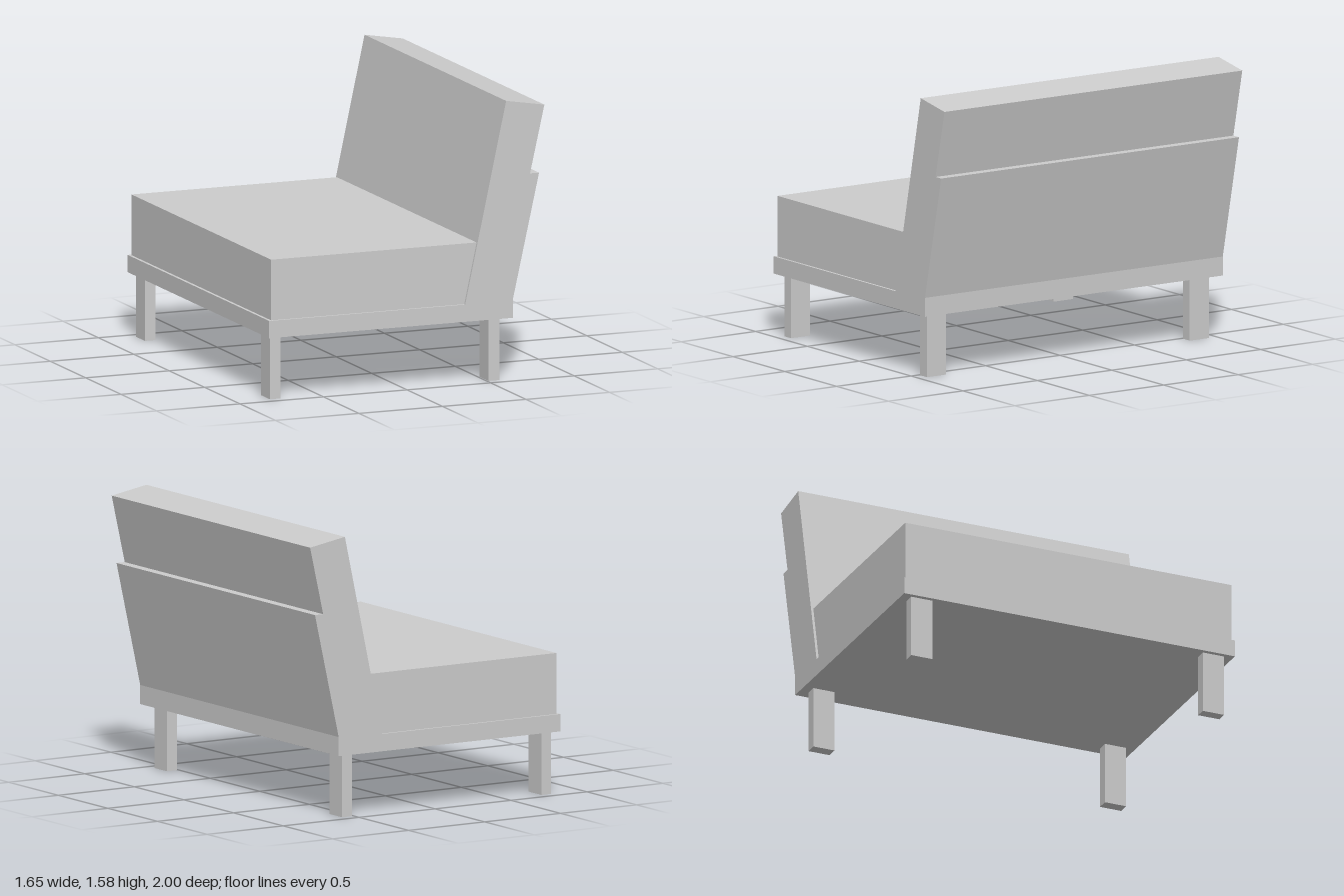
import * as THREE from 'three';

const material = new THREE.MeshStandardMaterial({ color: 0xcccccc, flatShading: true });

// Extrudes an x-y outline across z, centred on z = 0
function slab(name, points, width) {
  const shape = new THREE.Shape(points.map(([x, y]) => new THREE.Vector2(x, y)));
  const geometry = new THREE.ExtrudeGeometry(shape, { depth: width, bevelEnabled: false });
  geometry.translate(0, 0, -width / 2);
  const mesh = new THREE.Mesh(geometry, material);
  mesh.name = name;
  return mesh;
}

export function createModel() {
  const model = new THREE.Group();
  model.name = 'armlessSofa';

  // Base plate and reclined backrest, with a ledge across the rear
  model.add(slab('frameAndBackrest', [
    [-0.825, 0.355], [0.634, 0.355], [0.634, 0.462], [0.79, 1.159], [0.736, 1.159],
    [0.822, 1.539], [0.593, 1.578], [0.348, 0.452], [-0.825, 0.452],
  ], 2));

  // Seat cushion, slightly inset, its rear face following the backrest
  model.add(slab('seatCushion', [
    [-0.808, 0.452], [0.348, 0.452], [0.422, 0.793], [-0.808, 0.793],
  ], 1.972));

  // Four legs
  const legHeight = 0.355;
  for (const [x, thickness, end] of [[-0.767, 0.063, 'Front'], [0.543, 0.067, 'Rear']]) {
    for (const side of [-1, 1]) {
      const leg = new THREE.Mesh(new THREE.BoxGeometry(thickness, legHeight, 0.128), material);
      leg.position.set(x, legHeight / 2, side * 0.882);
      leg.name = `leg${end}${side > 0 ? 'A' : 'B'}`;
      model.add(leg);
    }
  }
  return model;
}
